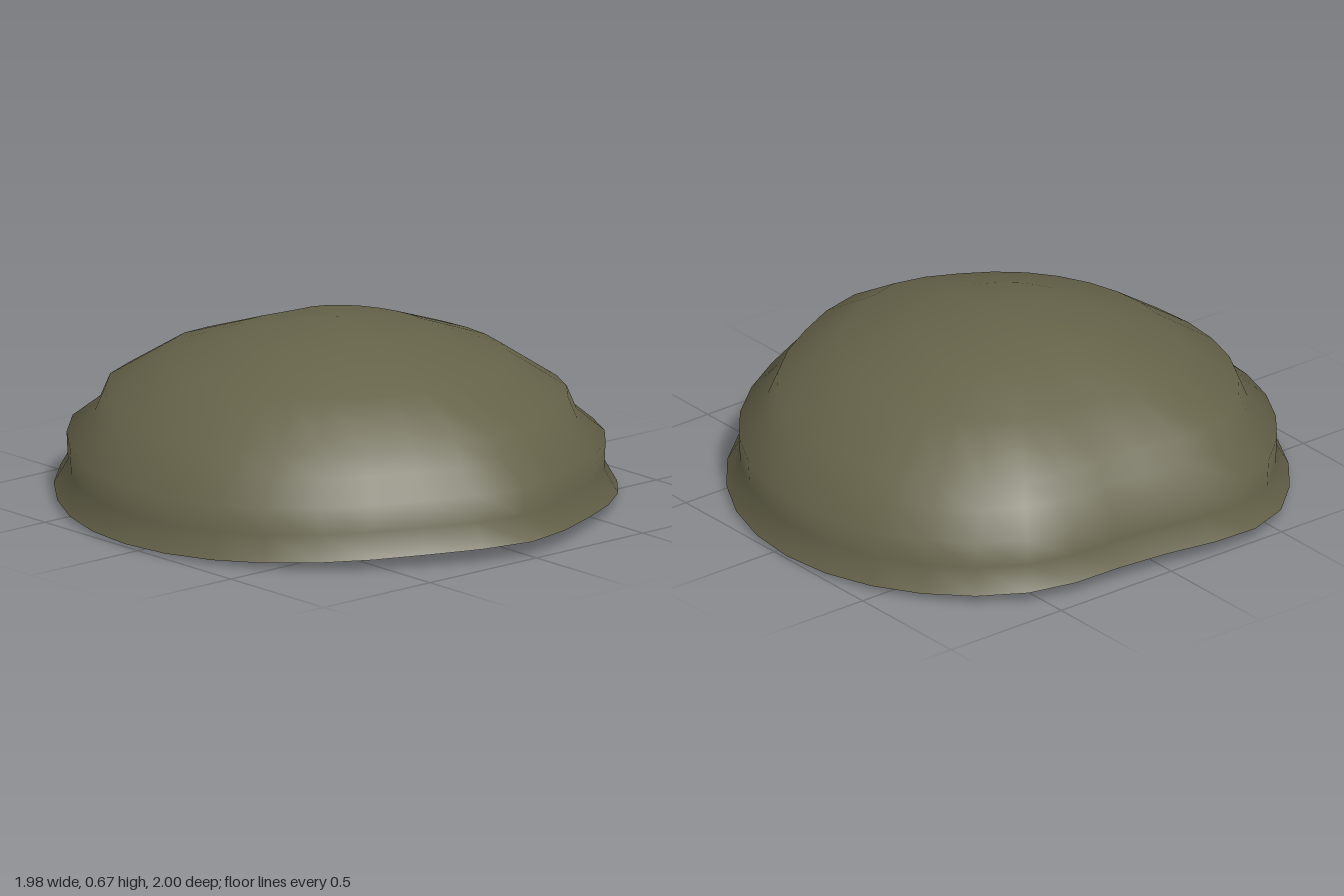
import * as THREE from 'three';
import { mergeVertices } from 'three/addons/utils/BufferGeometryUtils.js';

const SIDES = 32;
const CENTRE_X = -0.07;

// smooth bump around one direction of the outline
function bump(angle, centre, width) {
  const d = Math.atan2(Math.sin(angle - centre), Math.cos(angle - centre));
  return Math.exp(-((d / width) ** 2));
}

// turn a profile into a round body, then press its outline out of round
function turned(profile, material, name) {
  let geo = new THREE.LatheGeometry(profile.map(([r, y]) => new THREE.Vector2(r, y)), SIDES);
  geo.deleteAttribute('uv');
  geo.deleteAttribute('normal');
  const p = geo.attributes.position;
  for (let i = 0; i < p.count; i++) {
    const x = p.getX(i), z = p.getZ(i);
    const r = Math.hypot(x, z);
    const a = Math.atan2(z, x);
    // pointed on the left, flattened on the right
    const push = 0.07 * bump(a, 0, 0.28) - 0.02 * bump(a, 0, 0.75)
      + 0.11 * bump(a, Math.PI + 0.1, 0.36) - 0.03 * bump(a, 2.6, 0.25);
    p.setX(i, x + r * push + CENTRE_X);
    // both ends curl up a little
    p.setY(i, p.getY(i) + 0.045 * x * x);
  }
  geo = mergeVertices(geo, 1e-4);
  geo.computeVertexNormals();
  const mesh = new THREE.Mesh(geo, material);
  mesh.name = name;
  return mesh;
}

export function createModel() {
  const group = new THREE.Group();
  group.name = 'steppedMound';
  const material = new THREE.MeshStandardMaterial({ color: 0x66634a, side: THREE.DoubleSide });

  // flared rim, then stepped rings up to a low peak
  const shell = [
    [1.0, 0.01], [0.95, 0.10], [0.955, 0.20], [0.855, 0.285],
    [0.82, 0.37], [0.605, 0.515], [0.34, 0.61], [0, 0.665],
  ];
  group.add(turned(shell, material, 'shell'));

  // nearly flat underside
  group.add(turned([[0, 0], [1.0, 0.01]], material, 'underside'));
  return group;
}
